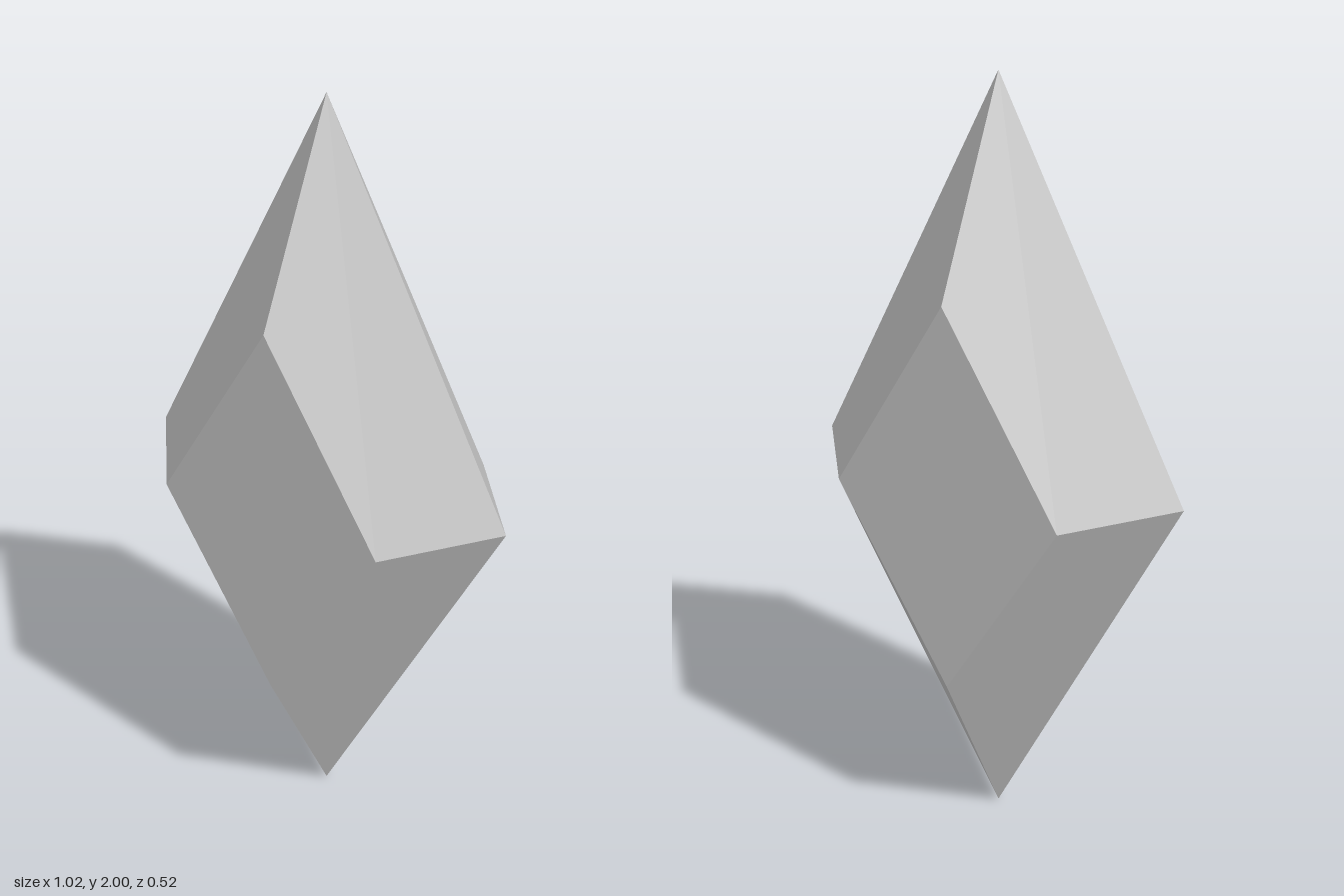
import * as THREE from 'three';

// Corners of the crystal
const TOP = [0, 2, 0], BOTTOM = [0, 0, 0];
const side = (sx) => [0.51 * sx, 1.01, 0];
const waist = (sx, sz) => [0.307 * sx, 1.006, 0.258 * sz];
const peak = (sz) => [0, 1.51, 0.258 * sz];
const foot = (sz) => [0, 0.5, 0.258 * sz];

// Four-cornered facet, split along a-c, with one even normal; flipped when mirrored
function facet(corners, flip, material, name) {
  const [a, b, c, d] = (flip ? [corners[0], ...corners.slice(1).reverse()] : corners)
    .map((p) => new THREE.Vector3(...p));
  const geometry = new THREE.BufferGeometry().setFromPoints([a, b, c, d]);
  geometry.setIndex([0, 1, 2, 0, 2, 3]);
  const n = c.clone().sub(a).cross(d.clone().sub(b)).normalize();
  const normals = [n, n, n, n].flatMap((v) => v.toArray());
  geometry.setAttribute('normal', new THREE.Float32BufferAttribute(normals, 3));
  const mesh = new THREE.Mesh(geometry, material);
  mesh.name = name;
  return mesh;
}

export function createModel() {
  const crystal = new THREE.Group();
  crystal.name = 'crystal';
  const grey = new THREE.MeshStandardMaterial({ color: 0xbfbfbf });
  grey.name = 'crystal grey';

  for (const sz of [1, -1]) {
    const face = sz > 0 ? 'front' : 'back';
    // Flat diamond table
    crystal.add(facet([peak(sz), waist(-1, sz), foot(sz), waist(1, sz)], sz < 0, grey, face + 'Table'));
    // Sloping facets running to the two tips
    for (const sx of [1, -1]) {
      const hand = sx > 0 ? 'Left' : 'Right';
      const flip = sx * sz < 0;
      crystal.add(facet([TOP, peak(sz), waist(sx, sz), side(sx)], flip, grey, face + hand + 'UpperFacet'));
      crystal.add(facet([BOTTOM, side(sx), waist(sx, sz), foot(sz)], flip, grey, face + hand + 'LowerFacet'));
    }
  }
  return crystal;
}
